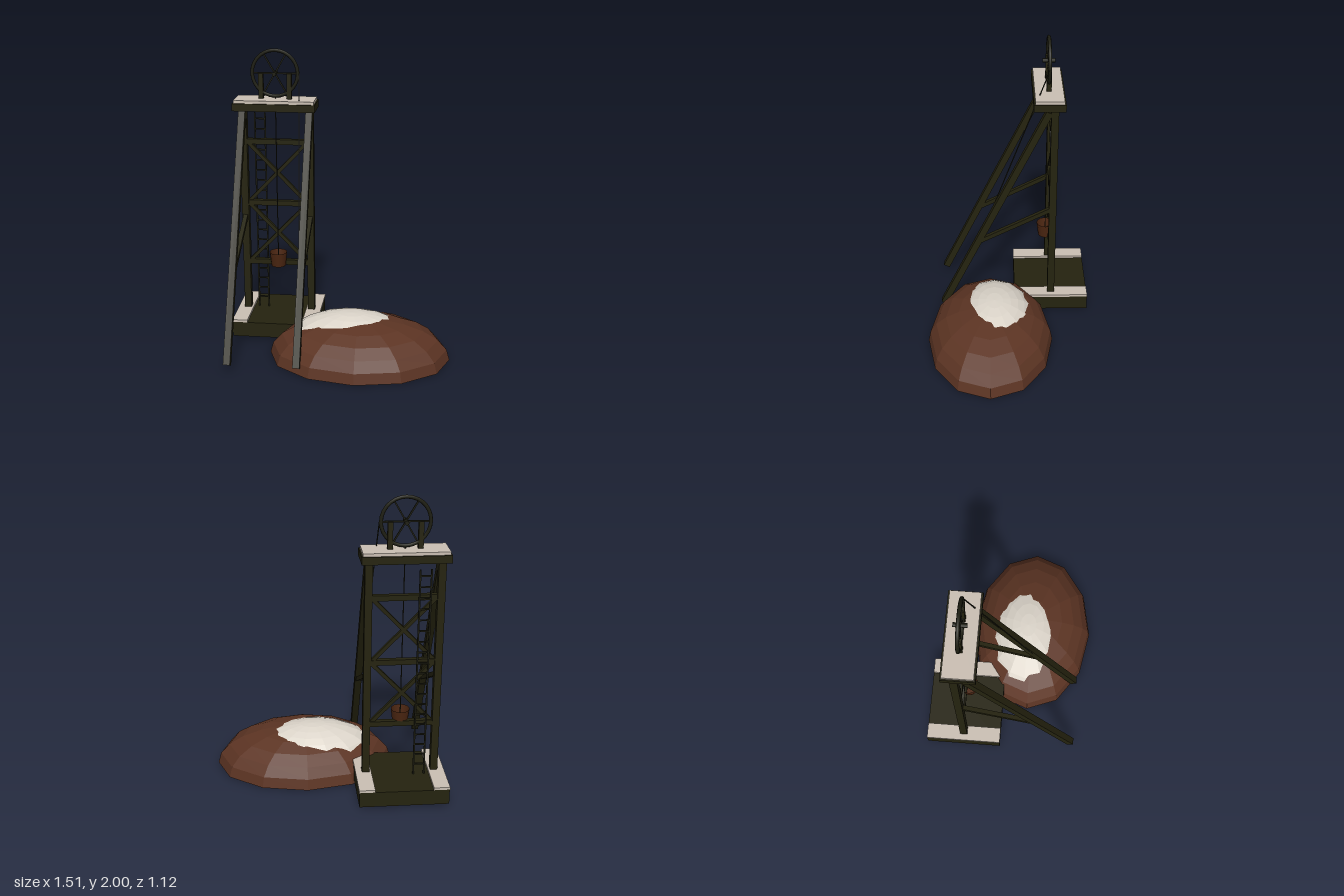
import * as THREE from 'three';

const paint = (name, color) => {
  const m = new THREE.MeshStandardMaterial({ color });
  m.name = name;
  return m;
};

export function createModel() {
  const model = new THREE.Group();
  model.name = 'mineHeadframe';
  const timber = paint('darkTimber', 0x25230f);
  const iron = paint('darkIron', 0x1d1d11);
  const earth = paint('brownEarth', 0x5c3423);
  const wood = paint('bucketWood', 0x4c2611);
  const snow = paint('snow', 0xdcd5ca);
  const dust = paint('paleSnowCover', 0xcbc0b4);
  bothSides(wood);

  function bothSides(m) { m.side = THREE.DoubleSide; }
  const add = (name, geometry, material, x = 0, y = 0, z = 0) => {
    const mesh = new THREE.Mesh(geometry, material);
    mesh.name = name;
    mesh.position.set(x, y, z);
    model.add(mesh);
    return mesh;
  };
  const box = (name, w, h, d, material, x, y, z) =>
    add(name, new THREE.BoxGeometry(w, h, d), material, x, y, z);
  // square bar between two points
  const beam = (name, a, b, w, material, h = w) => {
    const p = new THREE.Vector3(...a), q = new THREE.Vector3(...b);
    const mesh = box(name, w, h, p.distanceTo(q), material, 0, 0, 0);
    mesh.position.copy(p).add(q).multiplyScalar(0.5);
    mesh.lookAt(q);
    return mesh;
  };
  // faceted half ellipsoid
  const dome = (name, rx, ry, rz, sides, rings, material, x, y, z) => {
    let g = new THREE.SphereGeometry(1, sides, rings, 0, Math.PI * 2, 0, Math.PI / 2);
    g.scale(rx, ry, rz);
    g = g.toNonIndexed();
    g.computeVertexNormals();
    return add(name, g, material, x, y, z);
  };

  const cx = -0.4625, postZ = -0.305, wheelZ = -0.27;
  const postX = [-0.69, -0.235];

  // foundation with pale covers on both edges
  box('foundation', 0.585, 0.105, 0.52, timber, cx, 0.0725, postZ);
  box('foundationCoverRight', 0.105, 0.018, 0.52, dust, -0.705, 0.133, postZ);
  box('foundationCoverLeft', 0.105, 0.018, 0.52, dust, -0.22, 0.133, postZ);

  // posts, raking legs and their struts
  for (const x of postX) {
    box('post', 0.048, 1.48, 0.05, timber, x, 0.86, postZ);
    beam('rakingLeg', [x, 1.575, -0.27], [x, 0.05, 0.462], 0.046, timber);
    beam('legStrut', [x, 0.83, -0.295], [x, 0.58, 0.19], 0.03, timber);
  }

  // cross beams and diagonal bracing
  const levels = [0.49, 0.925, 1.36];
  levels.forEach((y, i) => {
    box('crossBeam', 0.42, 0.036, 0.036, timber, cx, y, postZ);
    if (i === 0) return;
    const low = levels[i - 1];
    beam('diagonalBrace', [-0.67, low, postZ], [-0.255, y, postZ], 0.024, timber);
    beam('diagonalBrace', [-0.67, y, postZ], [-0.255, low, postZ], 0.024, timber);
  });

  // top platform
  box('platform', 0.555, 0.05, 0.21, timber, cx, 1.62, wheelZ);
  box('platformCover', 0.538, 0.02, 0.19, dust, cx, 1.655, wheelZ);

  // winding wheel
  const wheelY = 1.835;
  add('wheelRim', new THREE.TorusGeometry(0.153, 0.012, 8, 28), iron, cx, wheelY, wheelZ);
  for (let i = 0; i < 3; i++) {
    const spoke = box('wheelSpoke', 0.3, 0.01, 0.01, iron, cx, wheelY, wheelZ);
    spoke.rotation.z = i * Math.PI / 3;
  }
  const axle = add('wheelAxle', new THREE.CylinderGeometry(0.014, 0.014, 0.085, 10), iron, cx, wheelY, wheelZ);
  axle.rotation.x = Math.PI / 2;
  for (const s of [-1, 1]) {
    box('wheelSupport', 0.032, 0.17, 0.032, timber, cx + s * 0.095, 1.75, wheelZ);
  }

  // ladder behind the posts
  for (const x of [-0.62, -0.55]) box('ladderRail', 0.01, 1.425, 0.01, iron, x, 0.8375, -0.345);
  for (let i = 0; i < 19; i++) {
    box('ladderRung', 0.07, 0.009, 0.009, iron, -0.585, 0.2 + i * 0.0727, -0.345);
  }

  // ropes and hoisting bucket
  beam('hoistRope', [cx, 0.48, wheelZ], [cx, 1.68, wheelZ], 0.006, iron);
  beam('haulRope', [-0.3, 1.835, wheelZ], [-0.25, 0.58, 0.2], 0.006, iron);
  add('bucket', new THREE.CylinderGeometry(0.062, 0.05, 0.1, 12, 1, true), wood, cx, 0.525, wheelZ);
  const bottom = add('bucketBottom', new THREE.CircleGeometry(0.051, 12), wood, cx, 0.477, wheelZ);
  bottom.rotation.x = Math.PI / 2;

  // spoil heap with a snowy crown
  dome('spoilHeap', 0.605, 0.28, 0.43, 12, 6, earth, 0.145, 0, 0.13);
  const base = add('spoilHeapBase', new THREE.CircleGeometry(1, 12), earth, 0.145, 0, 0.13);
  base.scale.set(0.605, 0.43, 1);
  base.rotation.x = Math.PI / 2;
  dome('snowCrown', 0.45, 0.23, 0.3, 14, 8, snow, 0.09, 0.07, 0.1);

  return model;
}
